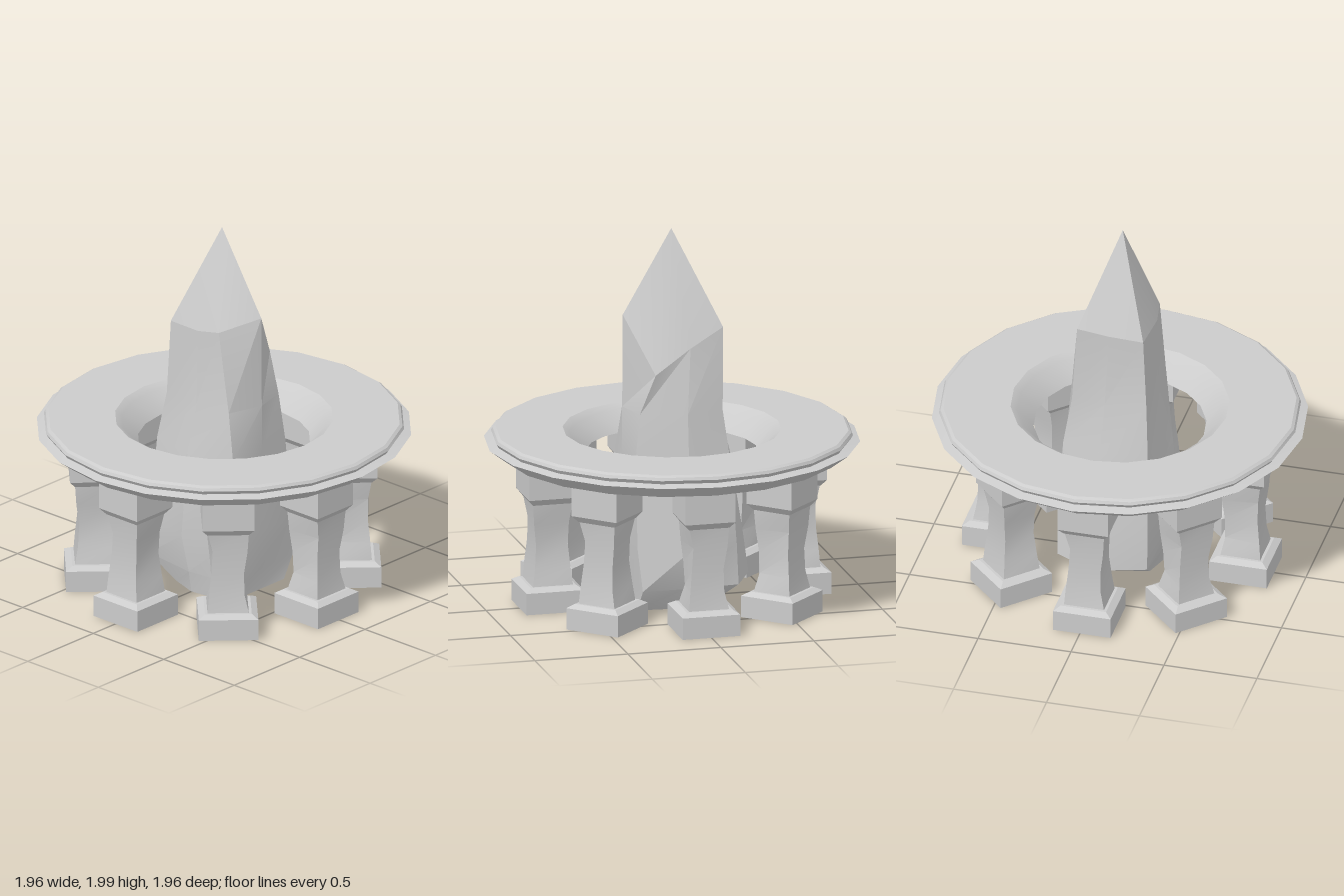
import * as THREE from 'three';
import { toCreasedNormals } from 'three/addons/utils/BufferGeometryUtils.js';

const material = new THREE.MeshStandardMaterial({ color: 0xcccccc });
const openMaterial = new THREE.MeshStandardMaterial({ color: 0xcccccc, side: THREE.DoubleSide });

// Skin a stack of rings (front, right, back, left order), bottom to top, with optional end points
function loft(rings, crease, bottom, top) {
  const pos = [];
  const tri = (a, b, c) => pos.push(...a, ...b, ...c);
  const n = rings[0].length;
  const last = rings.length - 1;
  for (let j = 0; j < n; j++) {
    const k = (j + 1) % n;
    for (let i = 0; i < last; i++) {
      const lo = rings[i], hi = rings[i + 1];
      tri(lo[j], lo[k], hi[k]);
      tri(lo[j], hi[k], hi[j]);
    }
    if (bottom) tri(rings[0][k], rings[0][j], bottom);
    if (top) tri(rings[last][j], rings[last][k], top);
  }
  const geo = new THREE.BufferGeometry();
  geo.setAttribute('position', new THREE.Float32BufferAttribute(pos, 3));
  return toCreasedNormals(geo, crease);
}

function add(parent, geo, mat, name) {
  const mesh = new THREE.Mesh(geo, mat);
  mesh.name = name;
  parent.add(mesh);
  return mesh;
}

// Square section: half-size h, with a nick per corner pulling it inward
function square(y, h, nick = [0, 0, 0, 0]) {
  return [[-1, 1], [1, 1], [1, -1], [-1, -1]].map(([sx, sz], i) =>
    [sx * (h - nick[i]), y, sz * (h - nick[i] * 0.6)]);
}

function createPillar() {
  const pillar = new THREE.Group();
  pillar.name = 'pillar';
  // Hollow plinth, open underneath
  add(pillar, loft([square(0.01, 0.155), square(0.125, 0.155), square(0.145, 0.122)], 0.2, null, [0, 0.145, 0]),
    openMaterial, 'plinth');
  // Worn shaft with chipped corners
  add(pillar, loft([
    square(0.14, 0.108),
    square(0.24, 0.1, [0, 0.015, 0.005, 0.02]),
    square(0.36, 0.088, [0, 0.005, 0.005, 0]),
    square(0.48, 0.1, [0.02, 0, 0.015, 0]),
    square(0.6, 0.108),
  ], 0.3), material, 'shaft');
  // Flared capital
  add(pillar, loft([square(0.585, 0.108), square(0.62, 0.135), square(0.805, 0.135)], 0.2, [0, 0.585, 0], [0, 0.805, 0]),
    material, 'capital');
  return pillar;
}

function createCrystal() {
  // Each ring: front, front +x, +x, back +x, back, back -x, -x, front -x
  const level = (y, pts) => pts.map(([x, z]) => [x, y, z]);
  const rings = [
    level(0.01, [[0, 0.24], [0.2, 0.24], [0.22, 0], [0.18, -0.15], [0.02, -0.2], [-0.2, -0.15], [-0.25, 0], [-0.22, 0.24]]),
    level(0.13, [[0, 0.25], [0.28, 0.23], [0.28, 0], [0.26, -0.29], [0.04, -0.4], [-0.23, -0.32], [-0.27, 0], [-0.24, 0.25]]),
    level(0.35, [[0, 0.26], [0.25, 0.25], [0.325, -0.02], [0.26, -0.28], [0.04, -0.37], [-0.23, -0.31], [-0.325, 0], [-0.23, 0.25]]),
    level(0.8, [[0, 0.268], [0.2, 0.25], [0.275, -0.02], [0.24, -0.25], [0.03, -0.3], [-0.22, -0.27], [-0.28, 0], [-0.2, 0.25]]),
    level(1.06, [[0, 0.268], [0.18, 0.22], [0.25, -0.02], [0.2, -0.22], [0.02, -0.235], [-0.2, -0.22], [-0.21, 0], [-0.19, 0.21]]),
    // Scalloped shoulder under the point
    [[0, 1.555, 0.265], [0.2, 1.27, 0.14], [0.19, 1.4, -0.05], [0.17, 1.5, -0.23],
      [0, 1.48, -0.23], [-0.18, 1.46, -0.21], [-0.2, 1.47, 0], [-0.18, 1.49, 0.13]],
  ];
  const crystal = new THREE.Group();
  crystal.name = 'crystal';
  add(crystal, loft(rings, 0.4, [0, 0.01, 0]), material, 'crystalBody');
  add(crystal, loft([rings[5]], 1.0, null, [-0.015, 2, 0]), material, 'crystalPoint');
  return crystal;
}

export function createModel() {
  const model = new THREE.Group();
  model.name = 'crystalMonument';

  // Twenty-sided ring slab with a moulded rim and sloped inner wall
  const profile = [
    [0.45, 0.8], [0.89, 0.8], [0.98, 0.868], [0.93, 0.88], [0.943, 0.9], [0.935, 0.915],
    [0.92, 0.925], [0.57, 0.925], [0.535, 0.9], [0.45, 0.8],
  ].map(([r, y]) => new THREE.Vector2(r, y));
  const slab = new THREE.LatheGeometry(profile, 20);
  add(model, toCreasedNormals(slab, 0.35), material, 'ringSlab');

  // Eight pillars around the ring
  const pillars = new THREE.Group();
  pillars.name = 'pillars';
  pillars.position.x = -0.01;
  for (let i = 0; i < 8; i++) {
    const a = (i * Math.PI) / 4;
    const pillar = createPillar();
    pillar.position.set(0.665 * Math.sin(a), 0, 0.665 * Math.cos(a));
    pillar.rotation.y = a;
    pillars.add(pillar);
  }
  model.add(pillars);

  model.add(createCrystal());
  return model;
}
